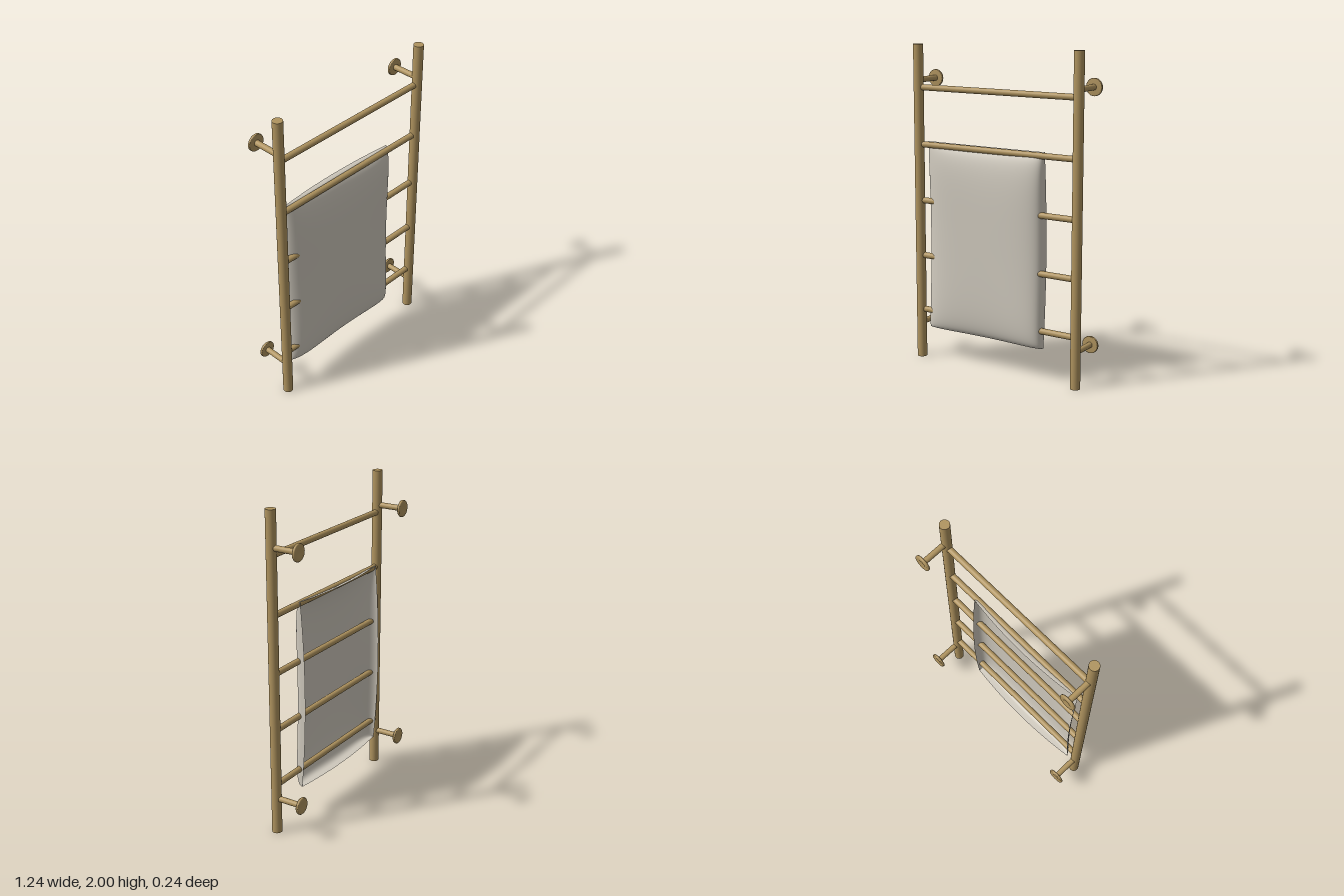
import * as THREE from 'three';

export function createModel() {
  const model = new THREE.Group();
  const brass = new THREE.MeshStandardMaterial({ color: 0xb0945f });
  brass.name = 'brushed brass';
  const cloth = new THREE.MeshStandardMaterial({ color: 0xd0cabe, side: THREE.DoubleSide });
  cloth.name = 'linen';

  const add = (name, geometry, material, x, y, z) => {
    const mesh = new THREE.Mesh(geometry, material);
    mesh.name = name;
    mesh.position.set(x, y, z);
    model.add(mesh);
    return mesh;
  };

  const postX = 0.567, railZ = 0.065;

  // Wall flange profile: a thin disc with softened rims and a shallow recess in the back
  const flangeProfile = [
    [0, 0.003], [0.022, 0.003], [0.025, 0], [0.049, 0], [0.053, 0.004],
    [0.053, 0.013], [0.05, 0.017], [0, 0.017],
  ].map(([r, h]) => new THREE.Vector2(r, h));
  const flange = new THREE.LatheGeometry(flangeProfile, 32).rotateX(Math.PI / 2);
  const standoff = new THREE.CylinderGeometry(0.018, 0.018, 0.18, 24).rotateX(Math.PI / 2);

  // Uprights with two wall brackets each
  for (const side of [-1, 1]) {
    add(side > 0 ? 'leftPost' : 'rightPost',
      new THREE.CylinderGeometry(0.031, 0.031, 2, 32), brass, side * postX, 1, railZ);
    for (const y of [0.225, 1.78]) {
      add('wallStandoff', standoff, brass, side * postX, y, -0.03);
      add('wallFlange', flange, brass, side * postX, y, -0.125);
    }
  }

  // Rungs
  const rung = new THREE.CylinderGeometry(0.019, 0.019, 2 * postX, 24).rotateZ(Math.PI / 2);
  for (let i = 0; i < 5; i++) add('rung', rung, brass, 0, 0.315 + i * 0.355, 0.062);

  // Towel: a thin sheet whose middle billows forward and whose edges curl back past the rungs
  const towel = new THREE.PlaneGeometry(2, 2, 48, 56);
  const p = towel.attributes.position;
  const curl = (u, low, high) =>
    Math.pow(Math.max(0, 1 - Math.pow(Math.abs(u), 5)), u < 0 ? low : high);
  for (let i = 0; i < p.count; i++) {
    // Rows and columns crowd towards the edges, where the curl is tightest
    const u = Math.sin(p.getX(i) * Math.PI / 2);
    const v = Math.sin(p.getY(i) * Math.PI / 2);
    const rim = 0.04 - 0.028 * (1 - u * u * v * v);
    const depth = 0.098 + 0.005 * u - 0.005 * v;
    const z = rim + depth * curl(u, 0.6, 0.28) * curl(v, 0.22, 0.4);
    p.setXYZ(i, -0.0925 + 0.4225 * u, 0.8 + 0.6 * v - 0.006 * (v > 0 ? v * (1 - u * u) : 0), z);
  }
  towel.computeVertexNormals();
  add('towel', towel, cloth, 0, 0, 0);

  return model;
}
